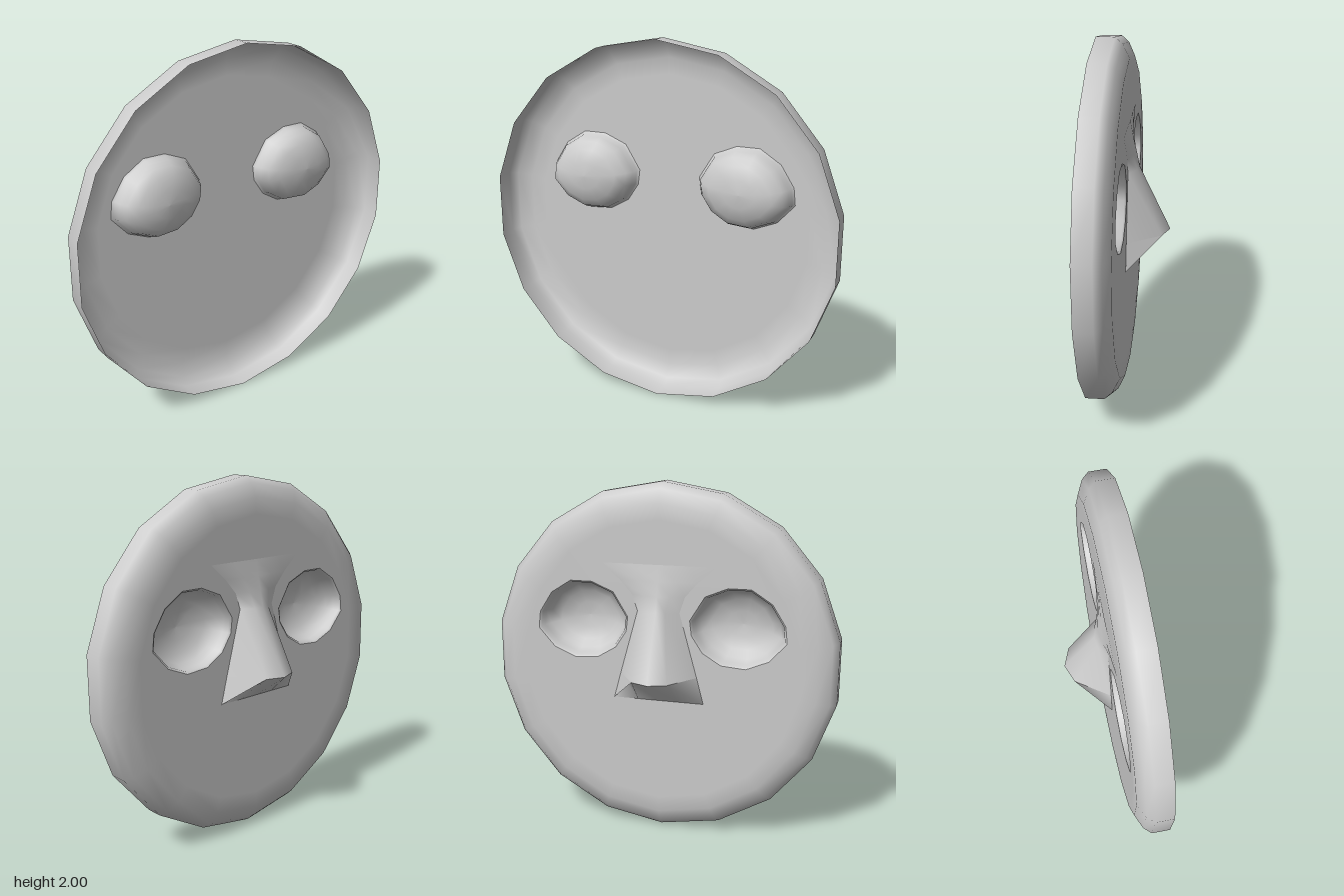
import * as THREE from 'three';

const FACE_Z = 0.025;

// Smooth surface through rows of points with equal counts
function loft(rows, closed) {
  const n = rows[0].length, index = [];
  for (let r = 0; r < rows.length - 1; r++) {
    for (let i = 0; i < (closed ? n : n - 1); i++) {
      const j = (i + 1) % n;
      const a = r * n + i, b = r * n + j, c = a + n, d = b + n;
      index.push(a, c, b, b, c, d);
    }
  }
  const geo = new THREE.BufferGeometry();
  geo.setAttribute('position', new THREE.Float32BufferAttribute(rows.flat(2), 3));
  geo.setIndex(index);
  geo.computeVertexNormals();
  return geo;
}

// Eye opening on the +x side, as offsets from its centre
const EYE = [0.45, 1.23];
const eyeOutline = [
  [0.25, -0.06], [0.24, 0.03], [0.17, 0.14], [0.06, 0.21], [-0.06, 0.21], [-0.18, 0.16],
  [-0.26, 0.03], [-0.25, -0.05], [-0.19, -0.14], [-0.09, -0.2], [0.04, -0.21], [0.16, -0.16],
];
const LIP = 1.05;
const eyeRing = (side, s) => eyeOutline.map(([x, y]) => [side * (EYE[0] + x * s), EYE[1] + y * s]);

export function createModel() {
  const group = new THREE.Group();
  const clay = new THREE.MeshStandardMaterial({ color: 0xcccccc, side: THREE.DoubleSide });
  clay.name = 'grey clay';
  const add = (name, geo) => {
    const mesh = new THREE.Mesh(geo, clay);
    mesh.name = name;
    group.add(mesh);
  };

  // Open rim with a rounded edge, 18 sided
  const profile = [[0.8, FACE_Z], [0.89, FACE_Z], [0.965, 0.06], [1, 0.1], [1, 0.2]];
  const rim = new THREE.LatheGeometry(profile.map(([r, z]) => new THREE.Vector2(r, z)), 18);
  rim.rotateX(Math.PI / 2).translate(0, 1, 0);
  add('rim', rim);

  // Flat face plate with two eye openings
  const plate = new THREE.Shape();
  const corners = [];
  for (let i = 0; i < 18; i++) {
    const a = i * Math.PI / 9;
    corners.push(new THREE.Vector2(0.8 * Math.sin(a), 1 + 0.8 * Math.cos(a)));
  }
  plate.setFromPoints(corners);
  for (const side of [-1, 1]) {
    const hole = eyeRing(side, LIP).map(([x, y]) => new THREE.Vector2(x, y));
    plate.holes.push(new THREE.Path(hole));
  }
  add('facePlate', new THREE.ShapeGeometry(plate).translate(0, 0, FACE_Z));

  // Hollow eye sockets, sunk towards +z
  const socket = [[LIP, FACE_Z], [1, 0.035], [0.97, 0.07], [0.88, 0.11], [0.68, 0.145], [0.35, 0.165], [0.001, 0.17]];
  for (const side of [-1, 1]) {
    const rows = socket.map(([s, z]) => eyeRing(side, s).map(([x, y]) => [x, y, z]));
    add(side > 0 ? 'leftEyeSocket' : 'rightEyeSocket', loft(rows, true));
  }

  // Nose rows: height, base half width, mid half width, mid z, ridge z
  const noseRow = ([y, w, m, zm, zr]) =>
    [[-w, y, 0.024], [-m, y, zm], [0, y, zr], [m, y, zm], [w, y, 0.024]];
  const tip = [0.94, 0.22, 0.1, -0.16, -0.2];
  const nose = [
    [1.56, 0.32, 0.17, 0.024, 0.022],
    [1.47, 0.22, 0.11, 0.014, 0.006],
    [1.39, 0.15, 0.07, 0.0, -0.012],
    [1.3, 0.12, 0.05, -0.02, -0.03],
    tip,
  ];
  const base = [0.79, 0.26, 0.12, 0.024, 0.024];
  add('noseBridge', loft(nose.map(noseRow), false));
  add('noseUnderside', loft([tip, base].map(noseRow), false));

  // Side walls closing the nose down to its base corners
  for (const side of [-1, 1]) {
    const wall = loft([
      [[side * 0.22, 0.94, 0.024], [side * 0.1, 0.94, -0.16]],
      [[side * 0.26, 0.79, 0.024], [side * 0.26, 0.79, 0.024]],
    ], false);
    add(side > 0 ? 'leftNostrilWall' : 'rightNostrilWall', wall);
  }
  return group;
}
